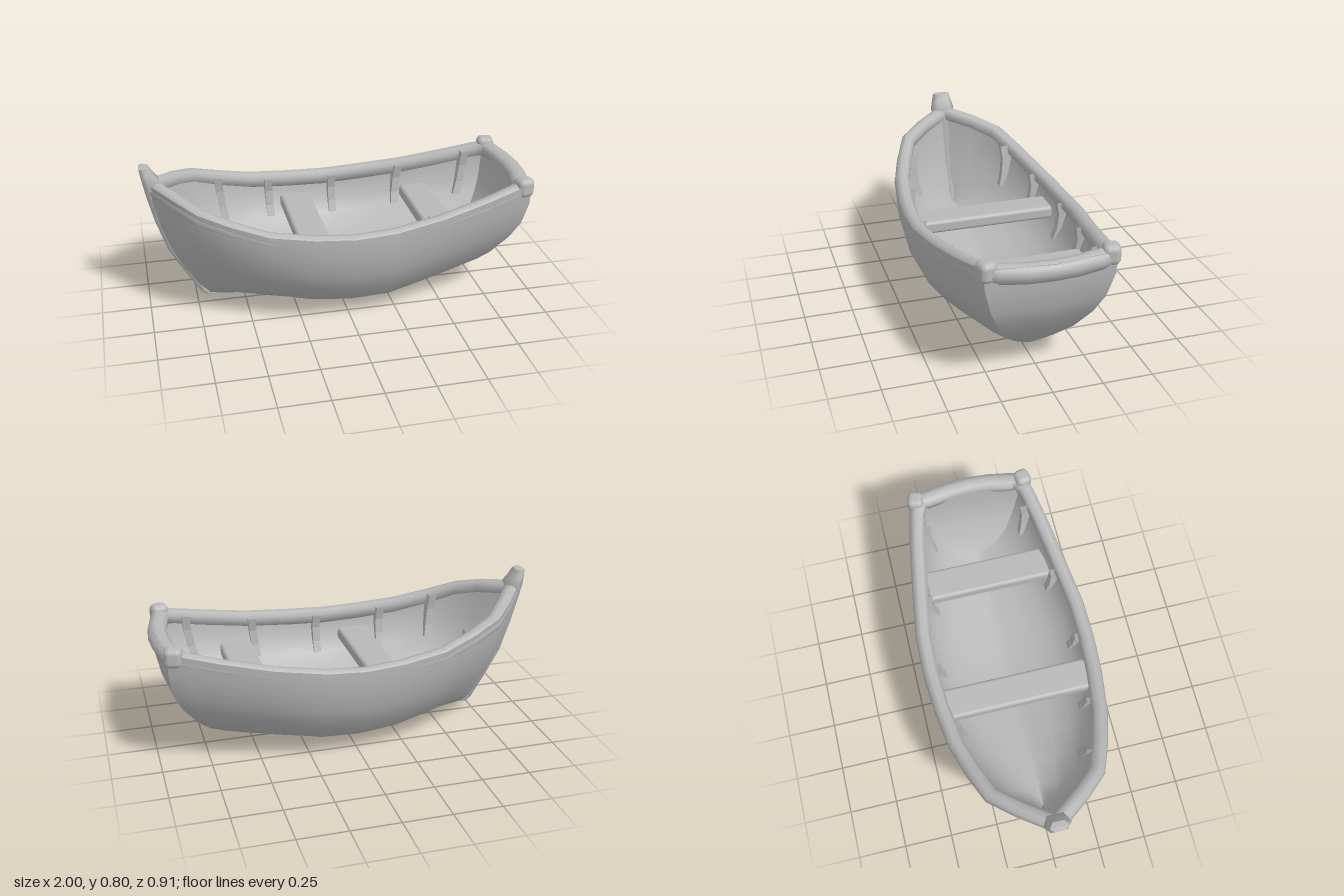
import * as THREE from 'three';
import { RoundedBoxGeometry } from 'three/addons/geometries/RoundedBoxGeometry.js';

// Hull stations, bow to stern: top x, top y, half width, bottom x, bottom y, end bulge, vee amount
const STATIONS = [
  [-0.96, 0.72, 0.05, -0.72, 0.055, -0.045, 1],
  [-0.86, 0.69, 0.18, -0.68, 0.053, -0.035, 0.8],
  [-0.75, 0.65, 0.298, -0.62, 0.05, -0.02, 0.55],
  [-0.6, 0.6, 0.358, -0.5, 0.045, -0.01, 0.35],
  [-0.42, 0.55, 0.412, -0.38, 0.035, 0, 0.2],
  [-0.2, 0.525, 0.444, -0.2, 0.012, 0, 0.05],
  [0, 0.515, 0.457, 0, 0, 0, 0],
  [0.2, 0.525, 0.453, 0.2, 0.006, 0, 0],
  [0.45, 0.555, 0.417, 0.38, 0.03, 0, 0.1],
  [0.7, 0.605, 0.374, 0.52, 0.05, 0.03, 0.2],
  [0.85, 0.64, 0.342, 0.62, 0.065, 0.07, 0.3],
  [0.94, 0.655, 0.317, 0.68, 0.08, 0.09, 0.4],
];
// Half sections from keel to gunwale: round and vee shaped (width, height)
const ROUND = [[0, 0], [0.09, 0], [0.4, 0.08], [0.68, 0.2], [0.85, 0.4], [0.94, 0.57], [1, 0.8], [1, 1]];
const VEE = [[0, 0], [0.1, 0.02], [0.2, 0.1], [0.35, 0.25], [0.56, 0.45], [0.75, 0.62], [0.93, 0.82], [1, 1]];

const lerp = THREE.MathUtils.lerp;

// Skin a list of rings; each ring is a list of [x, y, z]
function loft(rings, { closed = false, flip = false, flat = false } = {}) {
  const n = rings[0].length;
  const index = [];
  for (let i = 0; i < rings.length - 1; i++) {
    for (let j = 0; j < (closed ? n : n - 1); j++) {
      const k = (j + 1) % n;
      const a = i * n + j, b = i * n + k, c = a + n, d = b + n;
      if (flip) index.push(a, b, c, b, d, c);
      else index.push(a, c, b, b, c, d);
    }
  }
  let geo = new THREE.BufferGeometry();
  geo.setAttribute('position', new THREE.Float32BufferAttribute(rings.flat(2), 3));
  geo.setIndex(index);
  if (flat) geo = geo.toNonIndexed();
  geo.computeVertexNormals();
  return geo;
}

// Half section of one station, keel to gunwale
function halfSection([xt, yt, w, xb, yb, bulge, vee]) {
  return ROUND.map(([rw, rh], k) => {
    const f = lerp(rw, VEE[k][0], vee), t = lerp(rh, VEE[k][1], vee);
    return [lerp(xb, xt, t) + bulge * Math.sin(Math.PI * t), lerp(yb, yt, t), w * f];
  });
}

// Full section from the -z gunwale under the keel to the +z gunwale
function fullSection(station) {
  const half = halfSection(station);
  return [...half.slice(1).reverse().map(([x, y, z]) => [x, y, -z]), ...half];
}

// Inner skin station: set in from the planking, with a raised, flatter floor
const inset = ([xt, yt, w, xb, yb, bulge, vee]) =>
  [xt * 0.94, yt - 0.02, Math.max(w - 0.05, 0.012), lerp(xb, xt, 0.4) * 0.94, yb + 0.15, bulge * 0.5, vee * 0.4];

// End wall closing a section, bowed outwards at its middle
function endWall(station, bow, flip) {
  const rings = halfSection(station).map(([x, y, z], k) =>
    [[x, y, -z], [x + bow * k / 7, y, 0], [x, y, z]]);
  return loft(rings, { flip });
}

// Inner half section at any x, by blending neighbouring stations
function innerAt(x) {
  const list = STATIONS.map(inset);
  let i = 0;
  while (i < list.length - 2 && list[i + 1][0] < x) i++;
  const t = (x - list[i][0]) / (list[i + 1][0] - list[i][0]);
  return halfSection(list[i].map((v, k) => lerp(v, list[i + 1][k], t)));
}

// Rounded rail swept along the sheer, round the stern and back to the bow
function railGeometry() {
  const profile = [[0.016, -0.08], [0, -0.04], [0.01, -0.006], [0.035, 0.008],
    [0.064, 0], [0.08, -0.02], [0.078, -0.055], [0.05, -0.08]];
  const side = STATIONS.map(([x, y, w]) => [x, y, w]);
  const path = [...side, [0.965, 0.655, 0.25], [0.99, 0.652, 0.12], [0.998, 0.652, 0],
    [0.99, 0.652, -0.12], [0.965, 0.655, -0.25],
    ...side.slice().reverse().map(([x, y, z]) => [x, y, -z])];
  const rings = path.map(([x, y, z], i) => {
    const p = path[Math.max(i - 1, 0)], q = path[Math.min(i + 1, path.length - 1)];
    const tx = q[0] - p[0], tz = q[2] - p[2], len = Math.hypot(tx, tz);
    const wide = x > 0.93 ? 1.2 : 1;
    return profile.map(([d, h]) => [x + tz / len * d * wide, y + h, z - tx / len * d * wide]);
  });
  return loft(rings, { closed: true });
}

// Stem post: outer x, inner x, y, half width
function stemGeometry() {
  const levels = [[-0.71, -0.66, 0.052, 0.015], [-0.735, -0.67, 0.075, 0.022], [-0.805, -0.74, 0.19, 0.024],
    [-0.888, -0.82, 0.34, 0.028], [-0.942, -0.87, 0.51, 0.036], [-0.972, -0.89, 0.64, 0.052],
    [-0.988, -0.905, 0.725, 0.068], [-0.995, -0.935, 0.765, 0.056], [-1, -0.955, 0.8, 0.047]];
  const rings = levels.map(([o, i, y, w]) => [[i, y, -w * 0.6], [i, y, w * 0.6],
    [lerp(o, i, 0.4), y, w], [o, y, w * 0.6], [o, y, -w * 0.6], [lerp(o, i, 0.4), y, -w]]);
  // flat top
  const top = rings[rings.length - 1];
  rings.push(top.map((p) => [...p]), top.map(() => [-0.978, 0.803, 0]));
  return loft(rings, { closed: true });
}

// Short rib on the upper inner skin, deepest under the rail
function ribGeometry(x, s) {
  const pts = innerAt(x).slice(4);
  const rings = pts.map(([px, y, z], k) => {
    const zs = [s * (z + 0.015), s * (z - 0.012 - 0.014 * k)].sort((a, b) => a - b);
    return [[px + 0.02, y, zs[0]], [px + 0.02, y, zs[1]], [px - 0.02, y, zs[1]], [px - 0.02, y, zs[0]]];
  });
  return loft(rings, { closed: true, flat: true });
}

export function createModel() {
  const boat = new THREE.Group();
  boat.name = 'rowingBoat';
  const grey = new THREE.MeshStandardMaterial({ color: 0xb8b8b8 });
  grey.name = 'paleGrey';
  const add = (name, geo, x = 0, y = 0, z = 0) => {
    const mesh = new THREE.Mesh(geo, grey);
    mesh.name = name;
    mesh.position.set(x, y, z);
    boat.add(mesh);
    return mesh;
  };

  // Hull skins and end walls
  const first = STATIONS[0], last = STATIONS[STATIONS.length - 1];
  add('outerHull', loft(STATIONS.map(fullSection)));
  add('innerHull', loft(STATIONS.map((s) => fullSection(inset(s))), { flip: true }));
  add('transom', endWall(last, 0.035, false));
  add('innerTransom', endWall(inset(last), 0.02, true));
  add('bowWall', endWall(first, 0, true));
  add('innerBowWall', endWall(inset(first), 0, false));

  // Rail, stem and stern corners
  add('gunwaleRail', railGeometry());
  add('stemPost', stemGeometry());
  for (const s of [1, -1]) {
    const corner = add('sternCorner', new RoundedBoxGeometry(0.09, 0.1, 0.085, 4, 0.03), 0.91, 0.634, s * 0.292);
    corner.rotation.y = s * 0.23;
  }

  // Bench seats
  add('middleSeat', new RoundedBoxGeometry(0.165, 0.07, 0.77, 3, 0.02), -0.158, 0.375, 0);
  add('sternSeat', new RoundedBoxGeometry(0.17, 0.07, 0.67, 3, 0.02), 0.515, 0.385, 0);

  // Ribs in pairs
  for (const x of [-0.59, -0.31, 0.05, 0.42, 0.78]) {
    for (const s of [1, -1]) add('rib', ribGeometry(x, s));
  }
  return boat;
}
